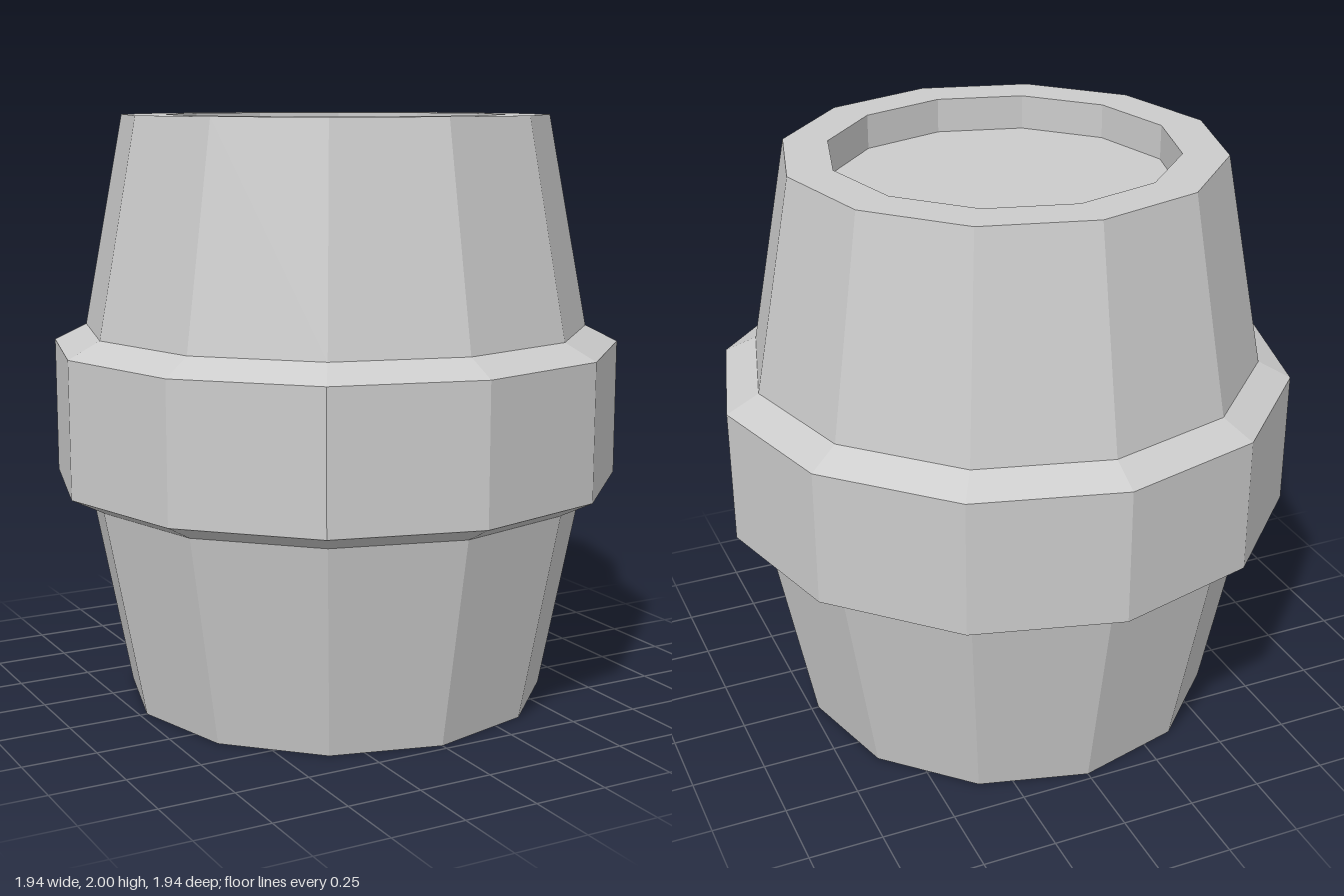
import * as THREE from 'three';

const SIDES = 12;

export function createModel() {
  const group = new THREE.Group();
  group.name = 'barrel';
  const material = new THREE.MeshStandardMaterial({ color: 0xcccccc, flatShading: true });

  // Turns a [radius, height] profile into a faceted ring
  const turned = (name, profile) => {
    const points = profile.map(([r, y]) => new THREE.Vector2(r, y));
    const mesh = new THREE.Mesh(new THREE.LatheGeometry(points, SIDES), material);
    mesh.name = name;
    group.add(mesh);
  };

  // Closed bottom and flaring lower staves
  turned('lowerBody', [[0, 0], [0.725, 0], [0.862, 0.715]]);

  // Raised band with bevelled edges
  turned('band', [[0.862, 0.715], [0.972, 0.77], [0.972, 1.23], [0.862, 1.285]]);

  // Tapering upper staves, flat rim and the wall of the recess
  turned('upperBody', [[0.862, 1.285], [0.725, 2], [0.575, 2], [0.575, 1.883]]);

  // Sunken lid
  turned('lid', [[0.575, 1.883], [0, 1.883]]);

  return group;
}
